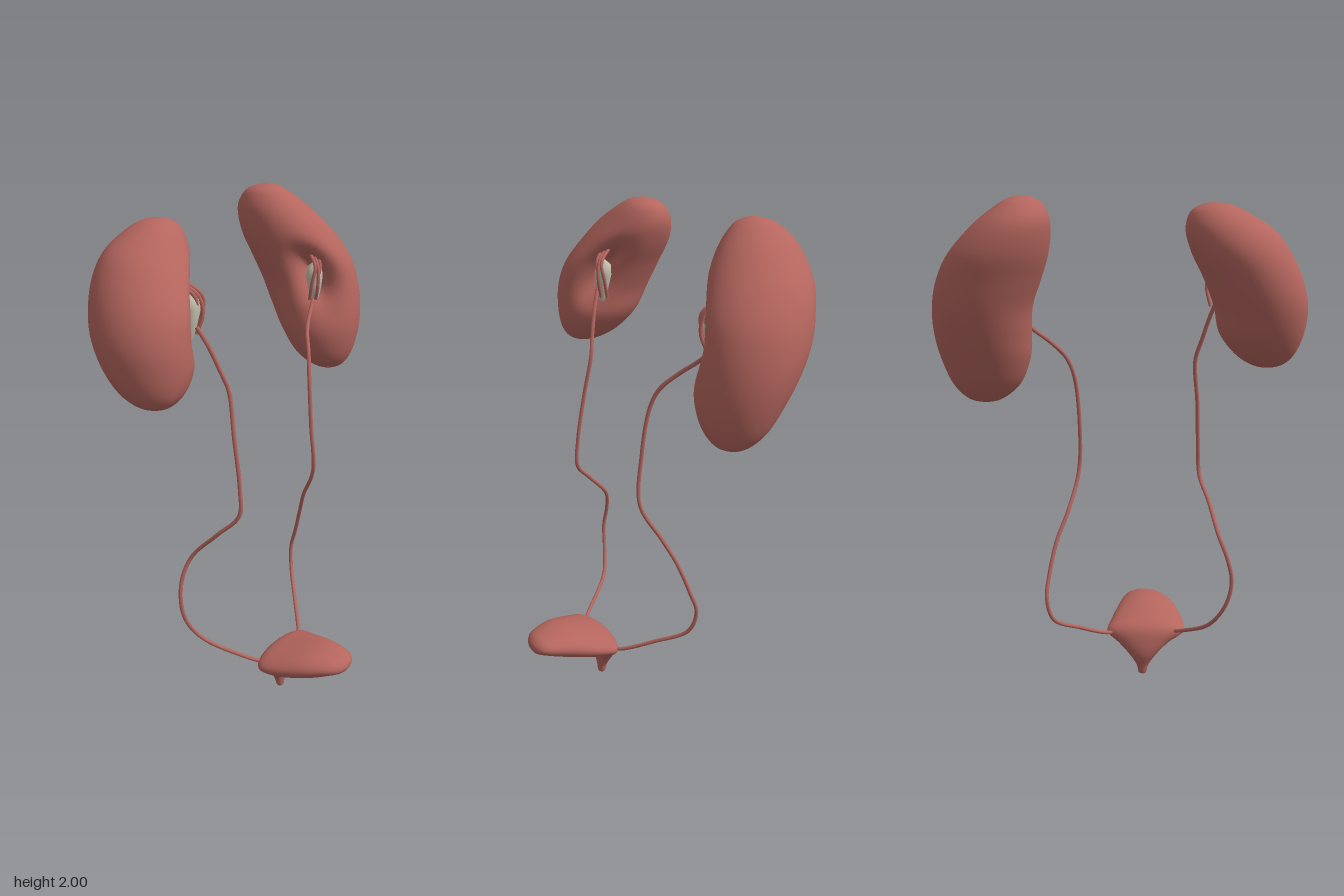
import * as THREE from 'three';
import { mergeVertices } from 'three/addons/utils/BufferGeometryUtils.js';

const flesh = new THREE.MeshStandardMaterial({ color: 0xb5665e });
const pale = new THREE.MeshStandardMaterial({ color: 0xc4c0ae });
const V = (a) => new THREE.Vector3(...a);

// Smooth interpolation through rows of numbers, t in 0..1
function sampleRows(rows, t) {
  const last = rows.length - 1;
  const i = Math.min(Math.floor(t * last), last - 1);
  const f = t * last - i;
  const at = (k) => rows[Math.max(0, Math.min(last, k))];
  return rows[i].map((p1, n) => {
    const p0 = at(i - 1)[n], p2 = at(i + 1)[n], p3 = at(i + 2)[n];
    return p1 + 0.5 * f * (p2 - p0 + f * (2 * p0 - 5 * p1 + 4 * p2 - p3 + f * (3 * (p1 - p2) + p3 - p0)));
  });
}

// Closed skin over rings; point(row, angle) gives each ring position
function loft(rows, point, rings, sides) {
  const pos = [], index = [];
  for (let i = 0; i <= rings; i++) {
    const row = sampleRows(rows, i / rings);
    for (let j = 0; j < sides; j++) pos.push(...point(row, (j / sides) * Math.PI * 2));
  }
  for (let i = 0; i < rings; i++) {
    for (let j = 0; j < sides; j++) {
      const a = i * sides + j, c = i * sides + ((j + 1) % sides);
      index.push(a, a + sides, c, c, a + sides, c + sides);
    }
  }
  let geo = new THREE.BufferGeometry();
  geo.setAttribute('position', new THREE.Float32BufferAttribute(pos, 3));
  geo.setIndex(index);
  geo = mergeVertices(geo, 1e-4);
  geo.computeVertexNormals();
  return geo;
}

function mesh(name, geo, mat) {
  const m = new THREE.Mesh(geo, mat);
  m.name = name;
  return m;
}

function tube(name, points, radius, segments) {
  const curve = new THREE.CatmullRomCurve3(points.map(V), false, 'centripetal');
  return mesh(name, new THREE.TubeGeometry(curve, segments, radius, 8), flesh);
}

// Kidney rows: [y, xMin, xMax, zMin, zMax]; the hilum is a hollow facing inward and forward
function kidney(name, rows, hilumAngle, hilumY) {
  const point = ([y, x0, x1, z0, z1], a) => {
    const da = Math.atan2(Math.sin(a - hilumAngle), Math.cos(a - hilumAngle));
    const dy = y - hilumY;
    const s = 1 - 0.55 * Math.exp(-((da / 0.4) ** 2) - (dy / (dy > 0 ? 0.09 : 0.12)) ** 2);
    return [
      (x0 + x1) / 2 + ((x1 - x0) / 2) * Math.cos(a) * s, y,
      (z0 + z1) / 2 + ((z1 - z0) / 2) * Math.sin(a) * s,
    ];
  };
  return mesh(name, loft(rows, point, 72, 64), flesh);
}

// Pale funnel and small vessels inside the hilum
function hilum(name, side, [x, y, z], tilt) {
  const g = new THREE.Group();
  g.name = name;
  const funnel = new THREE.LatheGeometry(
    [[0, -0.1], [0.01, -0.09], [0.024, -0.04], [0.034, 0.02], [0.03, 0.06], [0, 0.085]]
      .map(([r, h]) => new THREE.Vector2(r, h)), 20);
  const pelvis = mesh('renalPelvis', funnel, pale);
  pelvis.rotation.z = tilt;
  g.add(pelvis);
  for (let k = 0; k < 3; k++) {
    const o = (k - 1) * 0.018;
    g.add(tube('vessel', [
      [-side * 0.01 + o, -0.07, 0.015 - Math.abs(o)],
      [-side * 0.025 + o, 0.0, 0.035 - Math.abs(o)],
      [-side * 0.015 + o, 0.07, 0.025],
      [side * 0.03 + o, 0.13, -0.05],
    ], 0.007, 16));
  }
  g.position.set(x, y, z);
  return g;
}

export function createModel() {
  const model = new THREE.Group();
  model.name = 'urinarySystem';

  // Kidneys
  model.add(kidney('leftKidney', [
    [1.22, 0.51, 0.51, -0.08, -0.08],
    [1.238, 0.445, 0.58, -0.145, -0.025],
    [1.3, 0.375, 0.635, -0.22, 0.015],
    [1.4, 0.335, 0.672, -0.285, 0.038],
    [1.5, 0.325, 0.69, -0.34, 0.038],
    [1.6, 0.315, 0.688, -0.385, 0.025],
    [1.7, 0.28, 0.665, -0.415, 0],
    [1.8, 0.25, 0.61, -0.438, -0.055],
    [1.9, 0.24, 0.515, -0.428, -0.13],
    [1.965, 0.262, 0.43, -0.38, -0.195],
    [1.99, 0.295, 0.385, -0.33, -0.235],
    [2.0, 0.34, 0.34, -0.28, -0.28],
  ], Math.PI * 0.76, 1.66));
  model.add(kidney('rightKidney', [
    [1.36, -0.56, -0.56, -0.1, -0.1],
    [1.375, -0.62, -0.5, -0.17, -0.04],
    [1.42, -0.662, -0.435, -0.25, 0],
    [1.5, -0.69, -0.375, -0.32, 0.02],
    [1.6, -0.697, -0.35, -0.37, 0.02],
    [1.7, -0.672, -0.31, -0.402, 0],
    [1.8, -0.62, -0.262, -0.415, -0.06],
    [1.88, -0.555, -0.24, -0.395, -0.12],
    [1.94, -0.46, -0.255, -0.35, -0.17],
    [1.967, -0.4, -0.295, -0.305, -0.21],
    [1.975, -0.34, -0.34, -0.26, -0.26],
  ], Math.PI * 0.24, 1.7));
  model.add(hilum('leftHilum', 1, [0.39, 1.62, -0.08], 0.05));
  model.add(hilum('rightHilum', -1, [-0.375, 1.66, -0.085], -0.1));

  // Ureters
  model.add(tube('leftUreter', [
    [0.02, 0.18, 0.12], [0.06, 0.19, 0.09], [0.16, 0.25, 0], [0.265, 0.325, -0.095], [0.29, 0.42, -0.115],
    [0.28, 0.52, -0.085], [0.25, 0.65, -0.04], [0.21, 0.75, 0.005], [0.168, 0.9, 0.08],
    [0.162, 1.1, 0.07], [0.18, 1.3, 0.045], [0.21, 1.38, 0.02], [0.27, 1.45, -0.03],
    [0.33, 1.5, -0.06], [0.385, 1.55, -0.08],
  ], 0.008, 120));
  model.add(tube('rightUreter', [
    [-0.23, 0.19, 0.11], [-0.27, 0.215, 0.06], [-0.37, 0.3, -0.07], [-0.43, 0.4, -0.11], [-0.45, 0.5, -0.12],
    [-0.43, 0.6, -0.125], [-0.395, 0.69, -0.1], [-0.36, 0.8, 0], [-0.325, 0.89, 0.08],
    [-0.318, 1.0, 0.08], [-0.31, 1.2, 0.05], [-0.298, 1.37, 0.02], [-0.32, 1.45, 0],
    [-0.35, 1.55, -0.03], [-0.375, 1.62, -0.06],
  ], 0.008, 120));

  // Bladder rows: [x, y, z, half width, half thickness, downward tilt], front tip to neck
  const bladderRows = [
    [-0.1, 0.228, 0.445, 0, 0, 0],
    [-0.1, 0.23, 0.435, 0.045, 0.022, 0],
    [-0.105, 0.233, 0.4, 0.085, 0.038, 0.05],
    [-0.115, 0.22, 0.31, 0.125, 0.058, 0.1],
    [-0.115, 0.196, 0.2, 0.156, 0.058, 0.25],
    [-0.107, 0.18, 0.125, 0.16, 0.05, 0.6],
    [-0.1, 0.138, 0.107, 0.105, 0.042, 1.25],
    [-0.098, 0.09, 0.1, 0.058, 0.034, 1.5],
    [-0.097, 0.04, 0.105, 0.026, 0.022, 1.57],
    [-0.097, 0.002, 0.108, 0.016, 0.014, 1.57],
    [-0.097, 0, 0.108, 0, 0, 1.57],
  ];
  const bladderPoint = ([x, y, z, w, h, tilt], a) => [
    x + w * Math.cos(a),
    y + h * Math.sin(a) * Math.cos(tilt),
    z - h * Math.sin(a) * Math.sin(tilt),
  ];
  model.add(mesh('bladder', loft(bladderRows, bladderPoint, 60, 48), flesh));

  return model;
}
